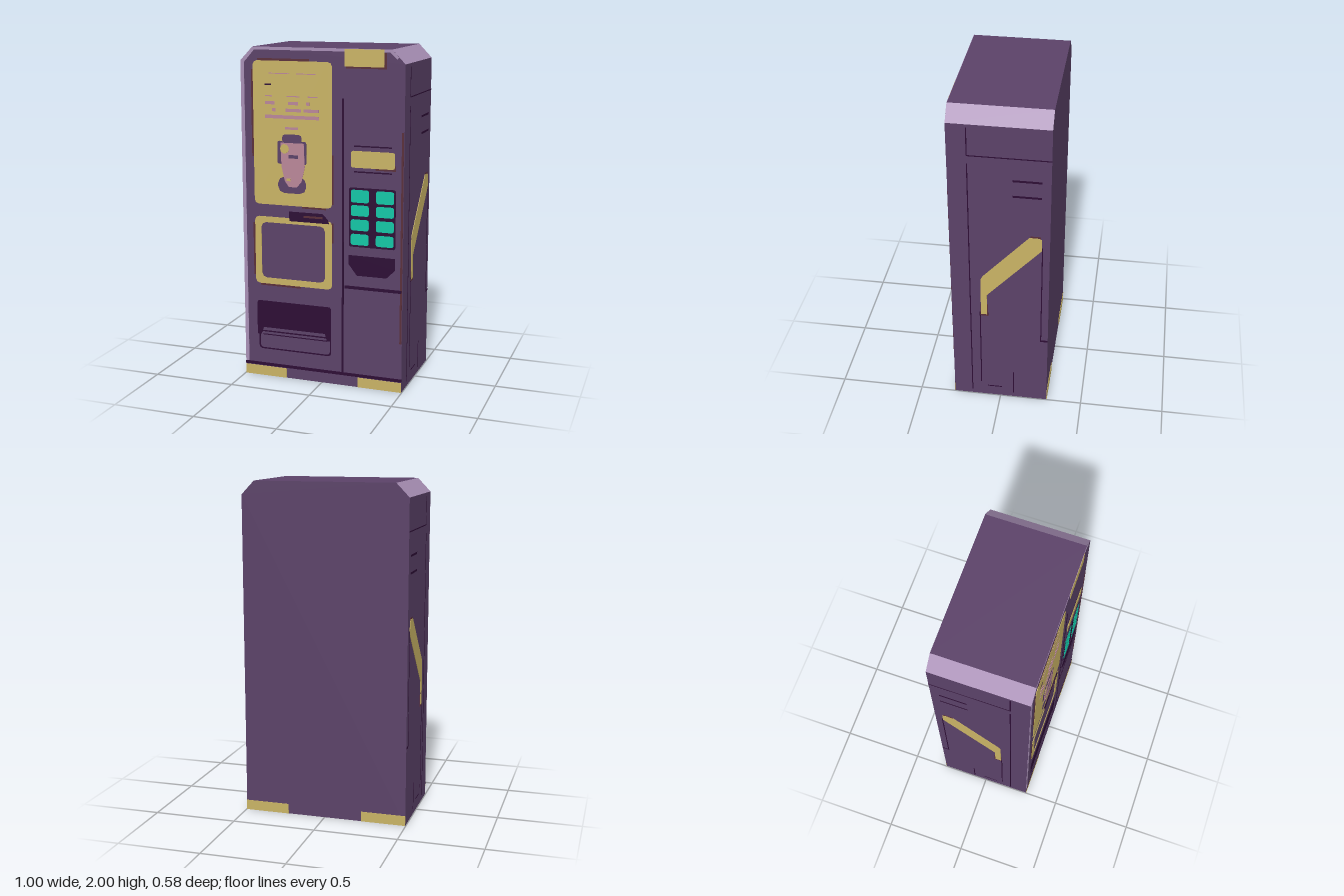
import * as THREE from 'three';

const mat = (name, color) => {
  const m = new THREE.MeshStandardMaterial({ color });
  m.name = name;
  return m;
};

export function createModel() {
  const purple = mat('purple', 0x5b4268), mauve = mat('mauve', 0xa88fb5);
  const dark = mat('darkPlum', 0x2d0d35), gold = mat('gold', 0xc9b365);
  const teal = mat('teal', 0x12c6a6), pink = mat('pink', 0xb98799);
  const brown = mat('brown', 0x5a2f3a);

  const W = 0.497, D = 0.286, STEP = 0.0015;
  const model = new THREE.Group();
  model.name = 'vendingMachine';

  const toShape = (pts) => new THREE.Shape(pts.map(([x, y]) => new THREE.Vector2(x, y)));

  // Rectangle outline with cut (c) corners
  const rect = (x0, x1, y0, y1, c = 0) => c === 0
    ? [[x0, y0], [x1, y0], [x1, y1], [x0, y1]]
    : [[x0 + c, y0], [x1 - c, y0], [x1 - c * 0.3, y0 + c * 0.3], [x1, y0 + c], [x1, y1 - c],
      [x1 - c * 0.3, y1 - c * 0.3], [x1 - c, y1], [x0 + c, y1], [x0 + c * 0.3, y1 - c * 0.3],
      [x0, y1 - c], [x0, y0 + c], [x0 + c * 0.3, y0 + c * 0.3]];

  // Thin plate standing on a face; layer decides how far it stands out
  const plate = (parent, name, material, pts, layer = 1, hole = null) => {
    const shape = toShape(pts);
    if (hole) shape.holes.push(toShape(hole));
    const geo = new THREE.ExtrudeGeometry(shape, { depth: layer * STEP, bevelEnabled: false });
    const mesh = new THREE.Mesh(geo, material);
    mesh.name = name;
    parent.add(mesh);
    return mesh;
  };

  const face = (name, x, z, turn) => {
    const g = new THREE.Group();
    g.name = name;
    g.position.set(x, 0, z);
    g.rotation.y = turn;
    model.add(g);
    return g;
  };

  // Cabinet with chamfered top corners, coloured by face direction
  const bodyGeo = new THREE.ExtrudeGeometry(
    toShape([[-W, 0], [W, 0], [W, 1.92], [0.42, 2], [-0.42, 2], [-W, 1.92]]),
    { depth: 2 * D, bevelEnabled: false });
  bodyGeo.translate(0, 0, -D);
  bodyGeo.clearGroups();
  const n = bodyGeo.attributes.normal;
  for (let i = 0; i < n.count; i += 3) {
    const nx = Math.abs(n.getX(i)), ny = n.getY(i);
    bodyGeo.addGroup(i, 3, ny < -0.9 ? 2 : (nx > 0.3 && ny > 0.3 ? 1 : 0));
  }
  const body = new THREE.Mesh(bodyGeo, [purple, mauve, dark]);
  body.name = 'cabinet';
  model.add(body);

  const front = face('frontPanel', 0, D, 0);
  const back = face('backPanel', 0, -D, Math.PI);

  // Pale edge trim down the left and over the top
  plate(front, 'edgeTrim', mauve, [[-W, 0.08], [-0.475, 0.08], [-0.475, 1.91], [-0.41, 1.983],
    [0.41, 1.983], [0.45, 1.945], [0.46, 1.957], [0.42, 2], [-0.42, 2], [-W, 1.92]]);

  // Kick line and corner feet
  plate(front, 'kickLine', dark, rect(-W, W, 0.064, 0.082), 2);
  for (const f of [front, back]) {
    plate(f, 'footRight', gold, rect(-W, -0.228, 0, 0.06), 2);
    plate(f, 'footLeft', gold, rect(0.228, W, 0, 0.06), 2);
  }

  // Panel seams
  plate(front, 'doorSeam', dark, rect(0.127, 0.139, 0.08, 1.72));
  plate(front, 'lowerSeam', dark, rect(0.145, 0.49, 0.606, 0.624), 2);
  plate(front, 'edgeSeam', brown, rect(0.482, 0.494, 0.3, 1.54));

  // Poster with its worn rim
  plate(front, 'posterRimLeft', brown, rect(-0.432, -0.41, 1.36, 1.87));
  plate(front, 'posterRimTop', brown, rect(-0.39, -0.07, 1.9, 1.935));
  plate(front, 'posterRimRight', brown, rect(0.05, 0.076, 1.1, 1.39));
  plate(front, 'posterRimBottom', brown, rect(-0.12, 0.03, 1.066, 1.09));
  plate(front, 'poster', gold, rect(-0.42, 0.067, 1.077, 1.922, 0.025), 2);

  // Abstract bars on the poster: x0, x1, centre y, height
  [[-0.345, -0.285, 1.68, 0.018], [-0.2, -0.14, 1.68, 0.018], [-0.09, -0.07, 1.68, 0.018],
    [-0.3, -0.28, 1.64, 0.018], [-0.215, -0.12, 1.64, 0.018], [-0.105, -0.012, 1.64, 0.018],
    [-0.345, -0.012, 1.6, 0.02], [-0.22, -0.14, 1.535, 0.014], [-0.345, -0.3, 1.72, 0.006],
    [-0.21, -0.13, 1.72, 0.006], [-0.08, -0.02, 1.72, 0.006], [-0.32, -0.19, 1.85, 0.005],
    [-0.15, -0.03, 1.85, 0.005]]
    .forEach(([a, b, y, h]) => plate(front, 'posterBar', pink, rect(a, b, y - h / 2, y + h / 2), 3));
  plate(front, 'posterDash', dark, rect(-0.345, -0.305, 1.782, 1.79), 3);

  // Drink picture: lid, side brackets, base, cup, fruit and band
  plate(front, 'cupLid', purple, rect(-0.24, -0.118, 1.445, 1.5, 0.02), 3);
  plate(front, 'cupBracketRight', purple, rect(-0.27, -0.235, 1.325, 1.46, 0.01), 3);
  plate(front, 'cupBracketLeft', purple, rect(-0.125, -0.09, 1.325, 1.46, 0.01), 3);
  plate(front, 'cupBase', purple, rect(-0.268, -0.092, 1.152, 1.25, 0.04), 3);
  plate(front, 'cup', pink, [[-0.2, 1.19], [-0.15, 1.19], [-0.12, 1.225], [-0.1, 1.31], [-0.105, 1.45],
    [-0.25, 1.45], [-0.245, 1.31], [-0.225, 1.225]], 4);
  plate(front, 'fruit', gold, Array.from({ length: 10 }, (_, i) =>
    [-0.225 + 0.028 * Math.cos(i * Math.PI / 5), 1.415 + 0.028 * Math.sin(i * Math.PI / 5)]), 5);
  plate(front, 'cupBand', purple, rect(-0.2, -0.14, 1.36, 1.38), 5);
  plate(front, 'cupSpark', gold, rect(-0.215, -0.19, 1.225, 1.24), 5);

  // Display window frame and the latch above it
  plate(front, 'windowFrame', gold, rect(-0.42, 0.067, 0.588, 1.002, 0.025), 2,
    rect(-0.38, 0.023, 0.625, 0.967, 0.03));
  plate(front, 'windowRimLeft', brown, rect(-0.432, -0.41, 0.64, 0.96));
  plate(front, 'windowRimBottom', brown, rect(-0.39, -0.13, 0.576, 0.6));
  plate(front, 'windowRimRight', brown, rect(0.05, 0.076, 0.87, 0.99));
  plate(front, 'latch', dark, [[-0.2, 0.985], [0.05, 0.985], [0.04, 1.01], [0.005, 1.042], [-0.2, 1.042]], 3);
  plate(front, 'latchGlint', brown, rect(-0.11, 0.01, 1.012, 1.024), 4);

  // Collection slot and outlined flap
  plate(front, 'slot', dark, [[-0.415, 0.265], [-0.39, 0.265], [-0.375, 0.31], [0.02, 0.31], [0.035, 0.265],
    [0.06, 0.265], [0.06, 0.465], [0.05, 0.478], [-0.405, 0.478], [-0.415, 0.465]], 2);
  plate(front, 'flapOutline', dark, rect(-0.405, 0.06, 0.172, 0.29, 0.02), 1,
    rect(-0.397, 0.052, 0.18, 0.282, 0.018));
  plate(front, 'flapLip', dark, rect(-0.38, 0.035, 0.262, 0.268));

  // Top tab
  plate(front, 'topTabShadow', brown, rect(0.15, 0.39, 1.89, 1.98), 1);
  plate(front, 'topTab', gold, rect(0.142, 0.375, 1.9, 1.998), 2);

  // Payment plate
  plate(front, 'paymentShade', brown, rect(0.33, 0.45, 1.318, 1.35), 1);
  plate(front, 'paymentPlate', gold, rect(0.182, 0.443, 1.328, 1.425, 0.012), 2);
  plate(front, 'paymentLineTop', dark, rect(0.2, 0.425, 1.448, 1.456));
  plate(front, 'paymentLineBottom', dark, rect(0.2, 0.425, 1.3, 1.308));

  // Keypad with two columns of four buttons
  plate(front, 'keypad', dark, rect(0.17, 0.451, 0.862, 1.212, 0.012));
  for (const [x0, x1] of [[0.182, 0.291], [0.334, 0.441]])
    for (const [y0, y1] of [[1.125, 1.2], [1.046, 1.11], [0.96, 1.026], [0.874, 0.94]])
      plate(front, 'button', teal, rect(x0, x1, y0, y1, 0.012), 2);

  // Coin return
  plate(front, 'coinReturn', dark, [[0.22, 0.69], [0.4, 0.69], [0.45, 0.74], [0.45, 0.81], [0.17, 0.81],
    [0.17, 0.755]], 2);

  // Both sides: bent gold stripe, its worn ends and thin seams
  const seams = [[0.172, 0.178, 1.73, 1.9], [0.172, 0.178, 0.03, 1.68], [-D, 0.175, 1.727, 1.733],
    [-0.235, -0.075, 1.585, 1.597], [-0.235, -0.075, 1.485, 1.497], [0.115, 0.121, 0.1, 0.66],
    [-0.247, -0.241, 0.48, 1.16], [-D, -0.241, 0.468, 0.48], [-0.083, -0.077, 0.03, 0.2],
    [-0.01, 0.08, 0.068, 0.074]];
  const stripe = [[0.113, 0.645], [0.077, 0.645], [0.077, 0.79], [-0.24, 1.14], [-0.24, 1.215],
    [-0.225, 1.225], [-0.17, 1.225], [0.1, 0.925], [0.113, 0.9]];
  for (const s of [1, -1]) {
    const side = face(s > 0 ? 'leftSide' : 'rightSide', s * W, 0, s * Math.PI / 2);
    const place = (pts) => pts.map(([z, y]) => [-s * z, y]);
    plate(side, 'stripeEndLow', brown, place(rect(0.07, 0.116, 0.633, 0.72)), 1);
    plate(side, 'stripeEndHigh', brown, place(rect(-0.235, -0.175, 1.2, 1.235)), 1);
    plate(side, 'sideStripe', gold, place(stripe), 2);
    seams.forEach(([z0, z1, y0, y1]) => plate(side, 'sideSeam', dark, place(rect(z0, z1, y0, y1)), 1));
  }

  return model;
}
